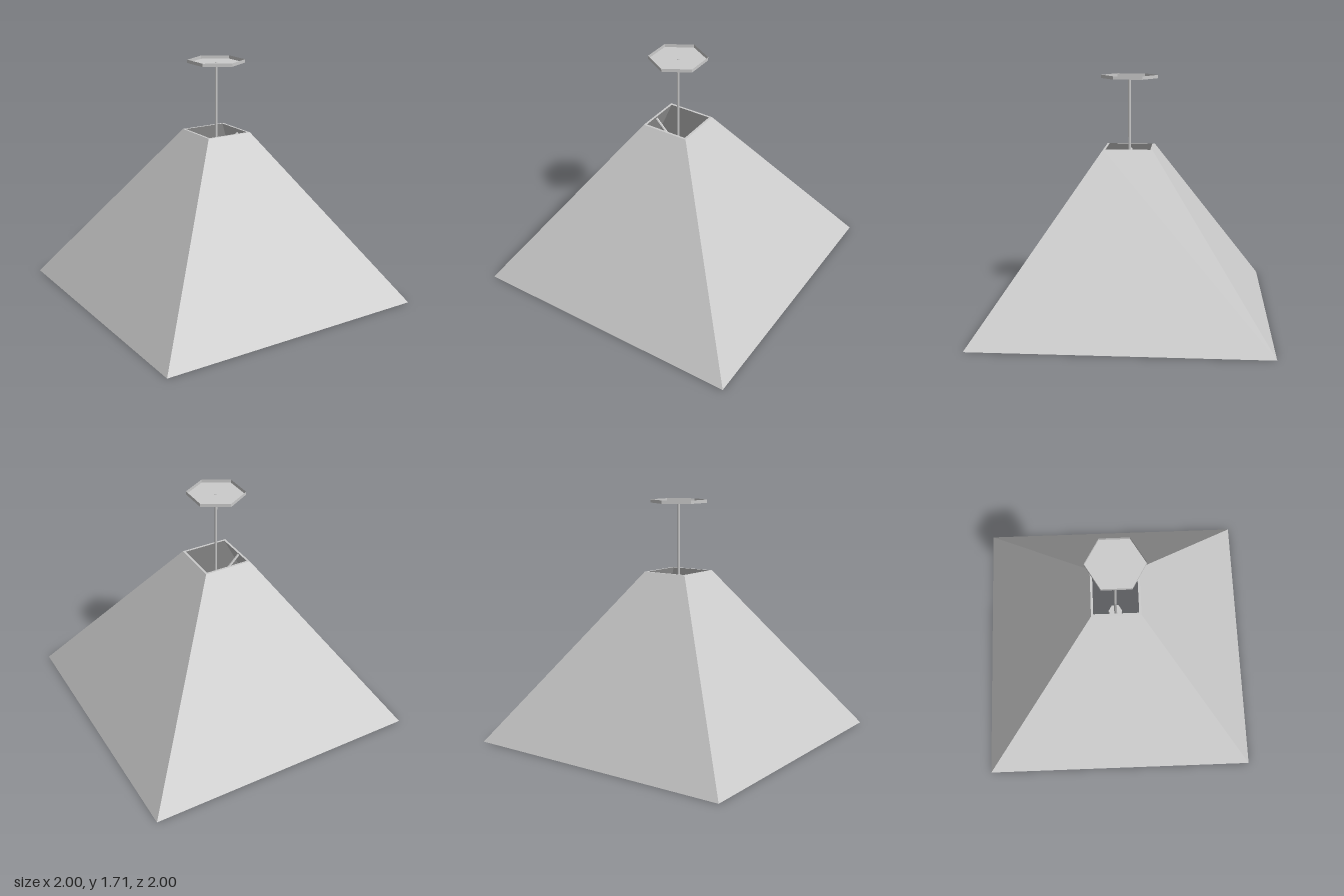
import * as THREE from 'three';

const material = new THREE.MeshStandardMaterial({ color: 0xcccccc, flatShading: true, side: THREE.DoubleSide });

// Faceted part turned around the y axis; profile is [radius, y] from the bottom up
function turned(name, profile, sides, start = 0) {
  const points = profile.map(([r, y]) => new THREE.Vector2(r, y));
  const mesh = new THREE.Mesh(new THREE.LatheGeometry(points, sides, start), material);
  mesh.name = name;
  return mesh;
}

// Thin round bar between two points
function bar(name, from, to, radius, sides) {
  const a = new THREE.Vector3(...from), b = new THREE.Vector3(...to);
  const dir = b.clone().sub(a);
  const mesh = new THREE.Mesh(new THREE.CylinderGeometry(radius, radius, dir.length(), sides), material);
  mesh.position.copy(a).add(b).multiplyScalar(0.5);
  mesh.quaternion.setFromUnitVectors(new THREE.Vector3(0, 1, 0), dir.normalize());
  mesh.name = name;
  return mesh;
}

export function createModel() {
  const lamp = new THREE.Group();
  lamp.name = 'pendantLamp';

  // Square shade with wall thickness, open at top and bottom
  const shade = [[1, 0], [0.173, 1.2], [0.157, 1.2], [0.95, 0], [1, 0]]
    .map(([half, y]) => [half * Math.SQRT2, y]);
  lamp.add(turned('shade', shade, 4, Math.PI / 4));

  // Hexagonal ceiling plate: a shallow dish open at the top
  lamp.add(turned('ceilingPlate', [[0, 1.687], [0.202, 1.687], [0.202, 1.71]], 6));

  // Hanging rod
  lamp.add(bar('rod', [0, 0.8, 0], [0, 1.69, 0], 0.009, 8));

  // Two sloping struts holding the shade
  for (const side of [-1, 1]) {
    lamp.add(bar(side > 0 ? 'leftStrut' : 'rightStrut', [side * 0.19, 1.165, 0], [0, 0.97, 0], 0.009, 6));
  }

  // Bulb socket with a wider collar
  lamp.add(turned('socket', [[0, 0.5], [0.06, 0.5], [0.06, 0.66], [0.05, 0.68], [0.05, 0.82], [0, 0.82]], 6));

  // Faceted bulb
  lamp.add(turned('bulb', [[0, 0.18], [0.06, 0.19], [0.108, 0.27], [0.1, 0.35], [0.055, 0.43], [0.04, 0.52]], 8));

  return lamp;
}
